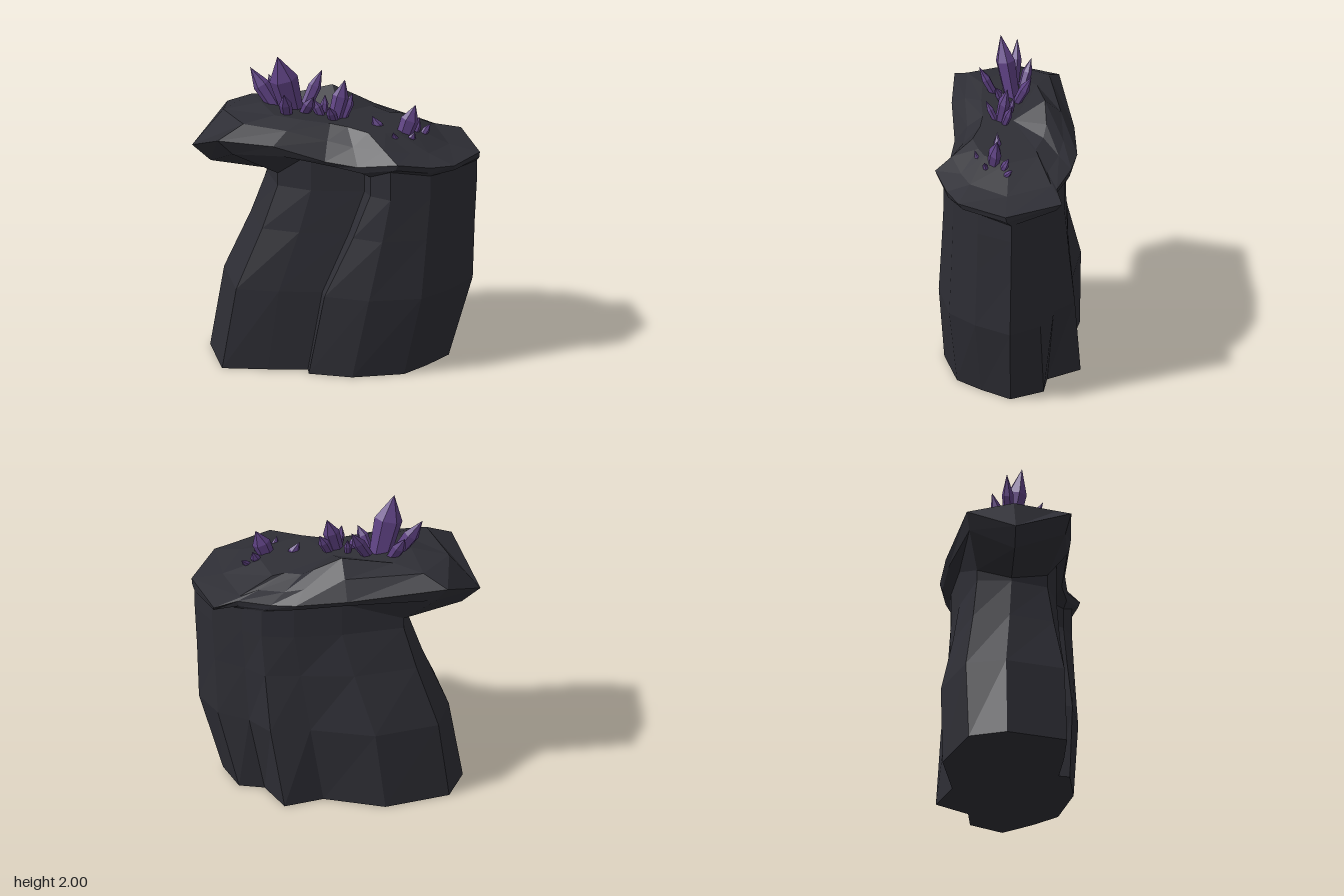
import * as THREE from 'three';

const rockMat = new THREE.MeshStandardMaterial({ color: 0x2e2e35, flatShading: true });
rockMat.name = 'darkRock';
const crystalMat = new THREE.MeshStandardMaterial({ color: 0x5f4284, flatShading: true });
crystalMat.name = 'purpleCrystal';

const { lerp, clamp } = THREE.MathUtils;

// Outlines start at the front cleft and run towards +x, back, -x.
// Foot and neck of the column: [x, z]
const foot = [[-.2, .25], [-.2, .32], [.065, .4], [.39, .37], [.54, .24], [.69, .08], [.62, -.14], [.465, -.185],
  [.37, -.41], [.12, -.36], [-.25, -.5], [-.66, -.42], [-.775, -.2], [-.73, .19], [-.45, .23]];
const neck = [[.15, .28], [.18, .36], [.3, .44], [.55, .42], [.72, .29], [.865, .1], [.78, -.08], [.61, -.2],
  [.5, -.29], [.3, -.33], [0, -.34], [-.39, -.31], [-.43, -.1], [-.38, .14], [-.18, .24]];
// Jagged rim of the cap: [x, y, z]
const rim = [[-.1, 1.42, .31], [.1, 1.4, .37], [.34, 1.46, .5], [.55, 1.42, .46], [.7, 1.41, .41],
  [.88, 1.385, .14], [.79, 1.4, -.23], [.64, 1.43, -.22], [.45, 1.46, -.34], [.3, 1.48, -.4],
  [-.02, 1.5, -.43], [-.65, 1.54, -.43], [-.89, 1.36, -.17], [-.76, 1.54, .21], [-.42, 1.52, .28]];

// Column loop between foot and neck: the right side swells early, the left side leans in late.
function columnRing(y, tLeft, tRight, bulge) {
  return foot.map(([x, z], i) => {
    const t = lerp(tLeft, tRight, clamp((x + .2) / .9, 0, 1));
    return [lerp(x, neck[i][0], t), y, lerp(z, neck[i][1], t) * bulge];
  });
}

// Top of the column: low under the left overhang, close below the rim elsewhere
const collar = neck.map(([x, z], i) => [x, lerp(1.22, rim[i][1] - .07, clamp((x + .43) / .2, 0, 1)), z]);

// Underside of the overhang, just inside the rim and thicker on the left
const lip = rim.map(([x, y, z], i) => [
  lerp(neck[i][0], x, .75), y - lerp(.1, .04, clamp((x + .7) / .6, 0, 1)), lerp(neck[i][1], z, .75),
]);

// Crown slopes down towards +x and has a ridge at the back.
const crown = rim.map(([x, , z]) => {
  const cx = x * .52, cz = z * .52 - .02;
  const ridge = .13 * Math.exp(-70 * ((cx - .04) ** 2 + (cz + .23) ** 2));
  return [cx, 1.6 - .13 * cx + ridge, cz];
});

// Shoulder between rim and crown: full on the left, a low brim on the right
const shoulder = rim.map(([x, y, z], i) => {
  const [cx, cy, cz] = crown[i];
  return [lerp(x, cx, .45), lerp(y, cy, .55 - .3 * x), lerp(z, cz, .45)];
});

// Skins a stack of loops; a centre point closes the first or last loop if given.
function loft(rings, bottom, top) {
  const n = rings[0].length, last = rings[rings.length - 1], tris = [];
  for (let i = 0; i < n; i++) {
    const j = (i + 1) % n;
    for (let k = 0; k < rings.length - 1; k++) {
      const a = rings[k][i], b = rings[k][j], c = rings[k + 1][j], d = rings[k + 1][i];
      tris.push(a, b, c, a, c, d);
    }
    if (bottom) tris.push(bottom, rings[0][j], rings[0][i]);
    if (top) tris.push(top, last[i], last[j]);
  }
  const geo = new THREE.BufferGeometry();
  geo.setAttribute('position', new THREE.Float32BufferAttribute(tris.flat(), 3));
  geo.computeVertexNormals();
  return geo;
}

// Flattened six-sided crystal from a buried base to its tip
function crystal(baseY, [bx, bz, tx, ty, tz, r]) {
  const base = new THREE.Vector3(bx, baseY, bz);
  const dir = new THREE.Vector3(tx, ty, tz).sub(base);
  const h = dir.length();
  const profile = [[0, -.08], [r * .7, -.08], [r, h * .6], [0, h]].map(([x, y]) => new THREE.Vector2(x, y));
  const mesh = new THREE.Mesh(new THREE.LatheGeometry(profile, 6, Math.PI / 6), crystalMat);
  mesh.position.copy(base);
  mesh.quaternion.setFromUnitVectors(new THREE.Vector3(0, 1, 0), dir.normalize());
  mesh.scale.z = .7;
  mesh.name = 'crystal';
  return mesh;
}

// Each crystal: base x, z, tip x, y, z, radius
function cluster(name, baseY, list) {
  const group = new THREE.Group();
  group.name = name;
  list.forEach((c) => group.add(crystal(baseY, c)));
  return group;
}

export function createModel() {
  const model = new THREE.Group();
  model.name = 'crystalRock';

  const rings = [
    columnRing(0, 0, 0, 1),
    columnRing(.53, .25, .85, 1.08),
    columnRing(.92, .72, .92, 1.03),
    columnRing(1.2, 1, 1, 1),
    collar,
    lip,
  ];
  const body = new THREE.Mesh(loft(rings, [0, 0, 0], null), rockMat);
  body.name = 'rockColumn';
  const head = new THREE.Mesh(loft([lip, rim, shoulder, crown], null, [.02, 1.6, -.04]), rockMat);
  head.name = 'rockCap';
  model.add(body, head);

  model.add(cluster('largeCrystals', 1.6, [
    [-.27, -.08, -.37, 2, -.02, .09], [-.36, -.1, -.53, 1.88, -.15, .052], [-.31, .02, -.34, 1.8, .12, .042],
    [-.2, -.09, -.08, 1.84, -.17, .042], [-.33, -.14, -.41, 1.8, -.22, .045], [-.21, -.02, -.15, 1.75, .05, .038],
  ]));
  model.add(cluster('middleCrystals', 1.58, [
    [-.02, .04, .05, 1.84, 0, .052], [.03, .02, .1, 1.74, -.02, .034], [-.02, .06, -.06, 1.71, .12, .032],
    [-.09, .01, -.15, 1.72, 0, .03], [-.08, -.03, -.07, 1.72, -.06, .024],
  ]));
  model.add(cluster('smallCrystals', 1.47, [
    [.29, .1, .21, 1.63, .09, .036], [.39, .15, .48, 1.71, .13, .058], [.46, .11, .51, 1.6, .06, .03],
    [.51, .1, .58, 1.55, .05, .022], [.36, .22, .33, 1.58, .25, .022], [.43, .19, .47, 1.56, .21, .024],
  ]));
  return model;
}
